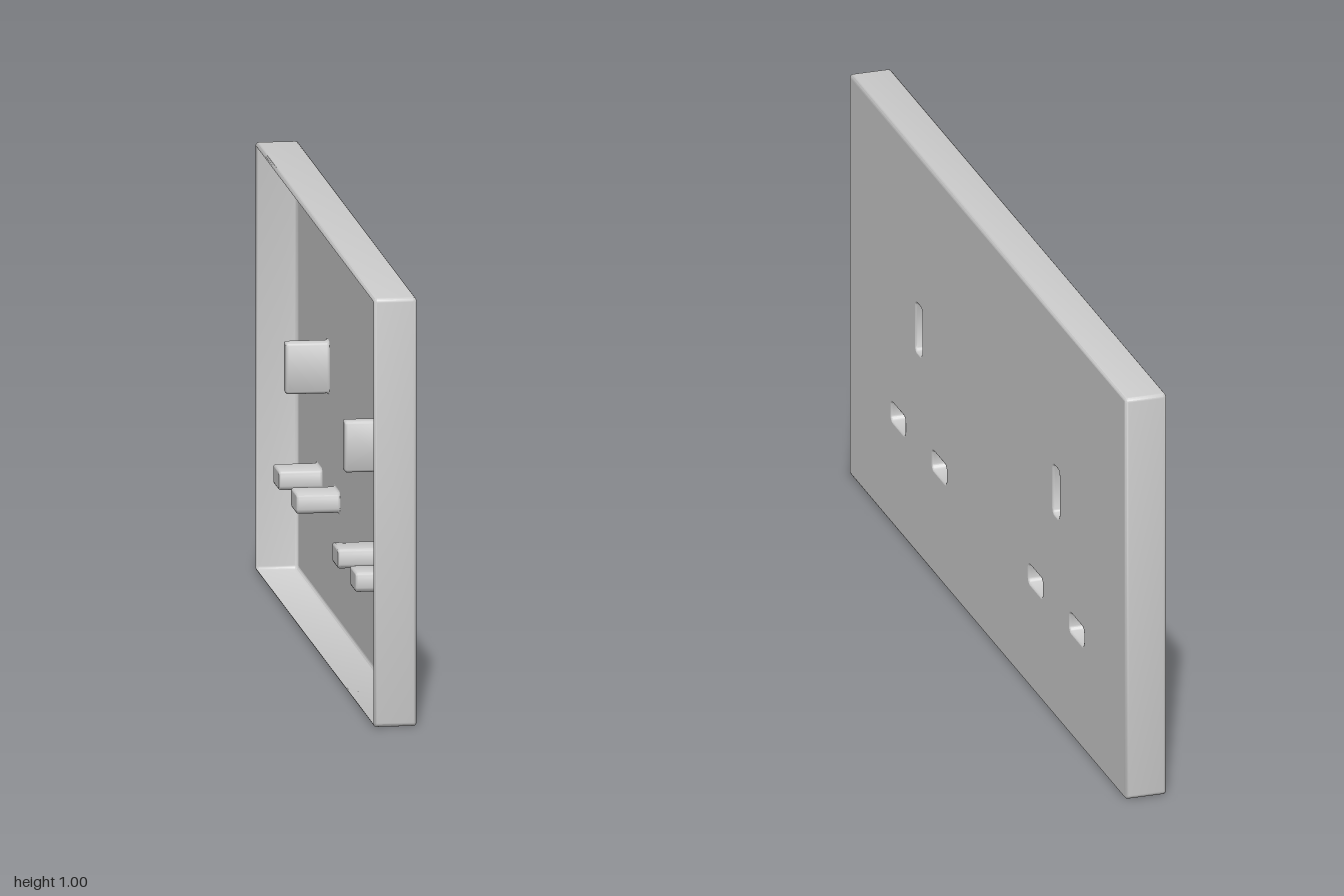
import * as THREE from 'three';
import { toCreasedNormals } from 'three/addons/utils/BufferGeometryUtils.js';

const HALF = 0.05;    // half the plate depth
const EDGE = 0.008;   // rounding of the plate edges
const LIP = 0.005;    // rounding of the slot mouths and floors

// Counter-clockwise rounded rectangle, shrunk by an inset
function roundedRect(cx, cy, w, h, r, inset = 0) {
  const points = [], steps = 4;
  const radius = Math.max(r - inset, 0.001);
  const dx = w / 2 - inset - radius, dy = h / 2 - inset - radius;
  [[1, 1], [-1, 1], [-1, -1], [1, -1]].forEach(([sx, sy], corner) => {
    for (let i = 0; i <= steps; i++) {
      const a = (corner + i / steps) * Math.PI / 2;
      points.push(new THREE.Vector2(cx + sx * dx + radius * Math.cos(a), cy + sy * dy + radius * Math.sin(a)));
    }
  });
  return points;
}

// Skin joining rings of { points, z }, listed from front to back
function loft(rings, inward) {
  const n = rings[0].points.length, pos = [], index = [];
  rings.forEach(({ points, z }) => points.forEach(p => pos.push(p.x, p.y, z)));
  for (let i = 0; i < rings.length - 1; i++) {
    for (let j = 0; j < n; j++) {
      const a = i * n + j, b = i * n + (j + 1) % n, c = a + n, d = b + n;
      if (inward) index.push(a, b, c, b, d, c);
      else index.push(a, c, b, b, c, d);
    }
  }
  const g = new THREE.BufferGeometry();
  g.setAttribute('position', new THREE.Float32BufferAttribute(pos, 3));
  g.setIndex(index);
  return toCreasedNormals(g, 0.7);
}

export function createModel() {
  const model = new THREE.Group();
  const plate = new THREE.Group();
  plate.name = 'socketPlate';
  plate.rotation.y = Math.PI / 2; // plate is drawn facing +z, then turned to face +x
  model.add(plate);
  const material = new THREE.MeshStandardMaterial({ color: 0xcccccc, side: THREE.DoubleSide });
  const add = (geometry, name, parent = plate) => {
    const mesh = new THREE.Mesh(geometry, material);
    mesh.name = name;
    parent.add(mesh);
    return mesh;
  };
  const quarter = [0, 1, 2, 3].map(i => i * Math.PI / 6);

  // Thin side walls with softened front and back edges
  const outline = inset => roundedRect(0, 0.5, 2, 1, 0.01, inset);
  const front = quarter.map(a => ({
    points: outline(EDGE * (1 - Math.sin(a))), z: HALF - EDGE * (1 - Math.cos(a)),
  }));
  const back = front.map(({ points, z }) => ({ points, z: -z })).reverse();
  add(loft([...front, ...back], false), 'sideWalls');

  // Two sockets, each with one upright slot and two level slots
  const slots = [];
  for (const x of [-0.497, 0.497]) {
    slots.push({ name: 'earthSlot', x, y: 0.565, w: 0.056, h: 0.13 });
    for (const s of [-1, 1]) slots.push({ name: 'pinSlot', x: x + s * 0.149, y: 0.282, w: 0.112, h: 0.056 });
  }

  const face = new THREE.Shape(outline(EDGE));
  for (const { name, x, y, w, h } of slots) {
    const ring = inset => roundedRect(x, y, w, h, 0.016, inset);
    face.holes.push(new THREE.Path(ring(0)));
    const group = new THREE.Group();
    group.name = name;
    plate.add(group);

    // Pocket wall, rounded at the mouth and at the floor
    const mouth = quarter.map(a => ({
      points: ring(LIP * Math.sin(a)), z: HALF - LIP * (1 - Math.cos(a)),
    }));
    const base = quarter.map(a => ({
      points: ring(LIP + LIP * (1 - Math.cos(a))), z: -HALF + LIP * (1 - Math.sin(a)),
    }));
    add(loft([...mouth, ...base], true), 'slotWall', group);

    // Closed pocket floor
    add(new THREE.ShapeGeometry(new THREE.Shape(ring(2 * LIP))), 'slotFloor', group).position.z = -HALF;
  }
  add(new THREE.ShapeGeometry(face), 'frontFace').position.z = HALF;

  return model;
}
